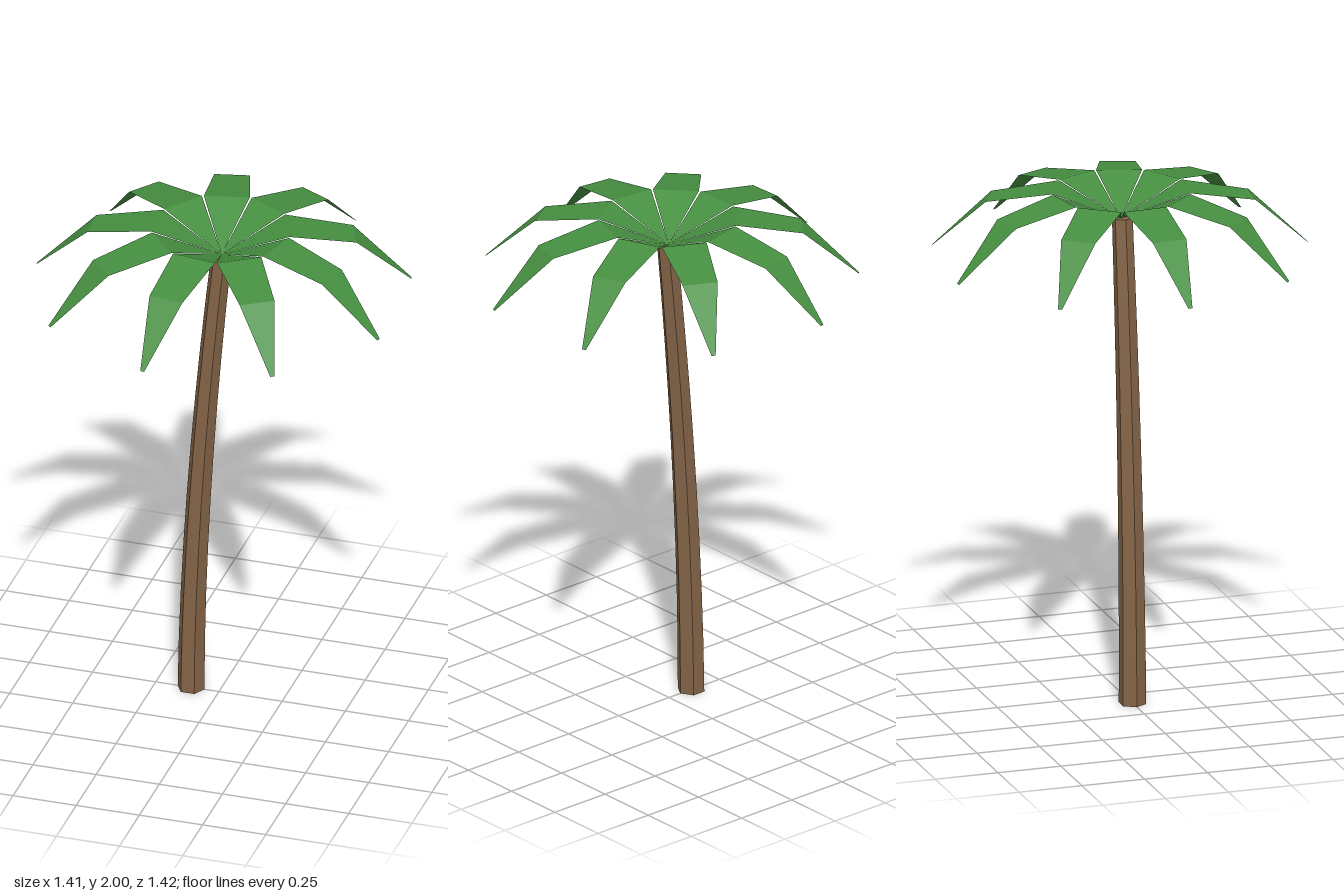
import * as THREE from 'three';

const bark = new THREE.MeshStandardMaterial({ name: 'barkBrown', color: 0x846447, flatShading: true });
const leaf = new THREE.MeshStandardMaterial({ name: 'leafGreen', color: 0x468f41, flatShading: true, side: THREE.DoubleSide });

const TRUNK_HEIGHT = 1.89;
const FROND_COUNT = 9;

// Six-sided tapering trunk, its rings shifted and tilted along a gentle curve
function makeTrunk() {
  const geometry = new THREE.CylinderGeometry(0.04, 0.053, TRUNK_HEIGHT, 6, 9, false, Math.PI / 6);
  geometry.translate(0, TRUNK_HEIGHT / 2, 0);
  const pos = geometry.attributes.position;
  for (let i = 0; i < pos.count; i++) {
    const x = pos.getX(i), y = pos.getY(i);
    const t = Math.max(0, y / TRUNK_HEIGHT);
    const lean = -0.11 + 0.12 * t ** 1.7;
    const slope = (0.12 * 1.7 * t ** 0.7) / TRUNK_HEIGHT;
    pos.setXY(i, x + lean, y - slope * x);
  }
  geometry.computeVertexNormals();
  const mesh = new THREE.Mesh(geometry, bark);
  mesh.name = 'trunk';
  return mesh;
}

// One frond: rises from the crown centre, arches over and droops to a narrow tip
function makeFrondGeometry() {
  // [distance out, height, half width]
  const sections = [[0, 1.89, 0], [0.25, 2, 0.087], [0.505, 1.952, 0.068], [0.72, 1.75, 0.008]];
  const points = [], index = [];
  sections.forEach(([r, y, w], i) => {
    points.push(r, y, w, r, y, -w);
    if (i === 0) return;
    const a = (i - 1) * 2;
    if (i > 1) index.push(a, a + 2, a + 1);
    index.push(a + 1, a + 2, a + 3);
  });
  const geometry = new THREE.BufferGeometry();
  geometry.setAttribute('position', new THREE.Float32BufferAttribute(points, 3));
  geometry.setIndex(index);
  geometry.computeVertexNormals();
  return geometry;
}

export function createModel() {
  const model = new THREE.Group();
  model.name = 'palmTree';
  model.add(makeTrunk());

  // Ring of identical fronds
  const crown = new THREE.Group();
  crown.name = 'crown';
  crown.position.set(0.008, 0, -0.007);
  const frondGeometry = makeFrondGeometry();
  for (let i = 0; i < FROND_COUNT; i++) {
    const frond = new THREE.Mesh(frondGeometry, leaf);
    frond.name = `frond${i + 1}`;
    frond.rotation.y = -THREE.MathUtils.degToRad(17.1 + (i * 360) / FROND_COUNT);
    crown.add(frond);
  }
  model.add(crown);
  return model;
}
